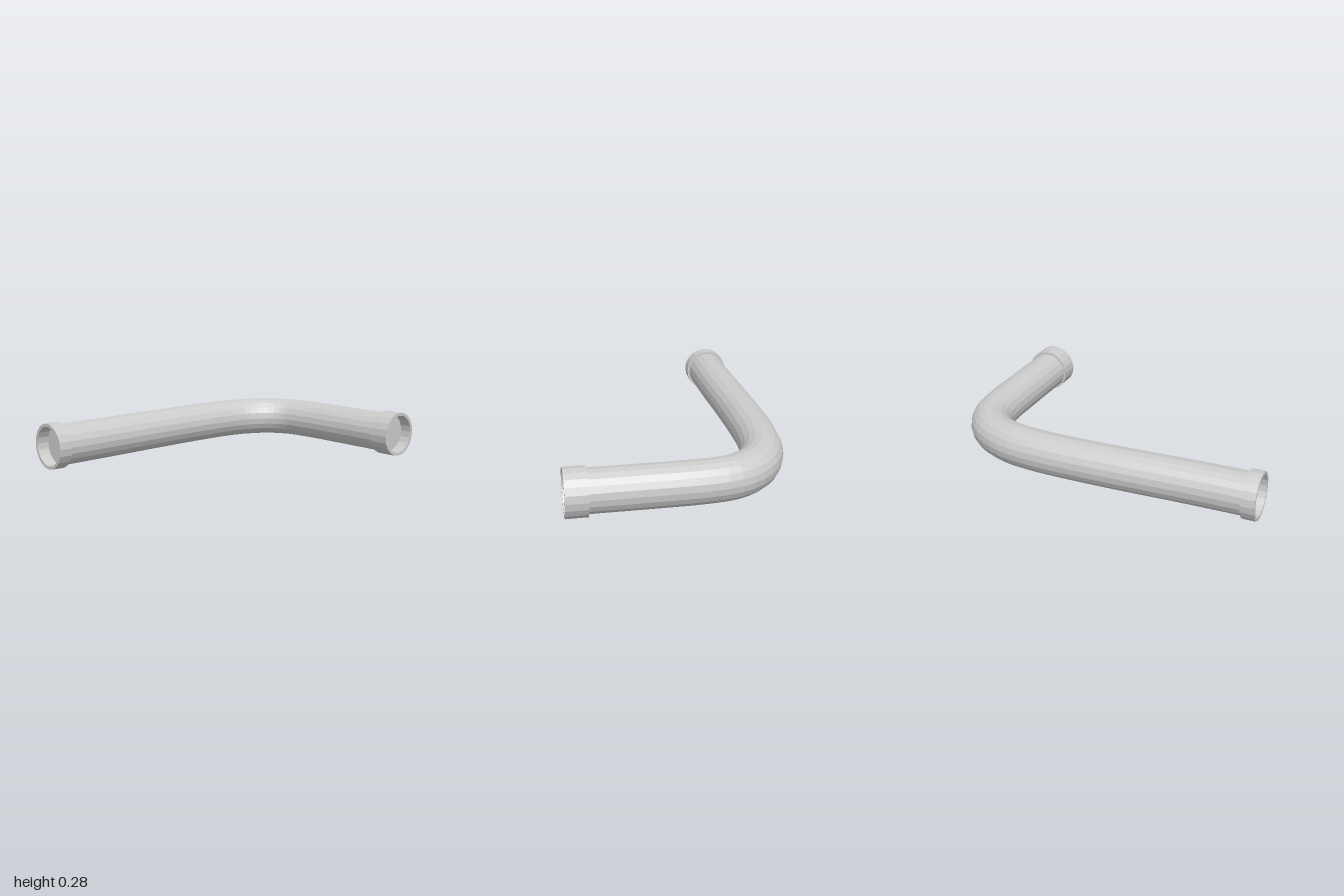
import * as THREE from 'three';

const SIDES = 20, Y = 0.14, TUBE_R = 0.125, COLLAR_R = 0.14, BORE_R = 0.121, RECESS = 0.075;
const material = new THREE.MeshStandardMaterial({ color: 0xcccccc, flatShading: true });

function part(name, geometry) {
  const mesh = new THREE.Mesh(geometry, material);
  mesh.name = name;
  return mesh;
}

// Socket ring with a recessed end disc; its mouth faces +z at the group's origin
function collar(name, length) {
  const group = new THREE.Group();
  group.name = name;
  const profile = [[BORE_R, -length], [COLLAR_R, -length], [COLLAR_R, 0], [BORE_R, 0], [BORE_R, -length]]
    .map(([r, y]) => new THREE.Vector2(r, y));
  const ring = part(name + 'Ring', new THREE.LatheGeometry(profile, SIDES).rotateX(Math.PI / 2));
  const disc = part(name + 'Disc', new THREE.CircleGeometry(TUBE_R, SIDES));
  disc.position.z = -RECESS;
  group.add(ring, disc);
  return group;
}

export function createModel() {
  const model = new THREE.Group();
  model.name = 'elbowPipe';

  // Gently bowed long arm, rounded elbow, short straight arm
  const path = new THREE.CatmullRomCurve3([
    [-1 + RECESS, -0.52], [-0.6, -0.526], [-0.2, -0.54], [0.15, -0.545], [0.38, -0.537],
    [0.57, -0.505], [0.74, -0.41], [0.83, -0.27], [0.855, -0.1], [0.858, 0.2], [0.855, 0.665 - RECESS],
  ].map(([x, z]) => new THREE.Vector3(x, Y, z)));
  model.add(part('pipe', new THREE.TubeGeometry(path, 48, TUBE_R, SIDES)));

  // End collars
  const front = collar('frontCollar', 0.125);
  front.position.set(0.858, Y, 0.665);
  const side = collar('sideCollar', 0.08);
  side.position.set(-1, Y, -0.52);
  side.rotation.y = -Math.PI / 2;
  model.add(front, side);
  return model;
}
